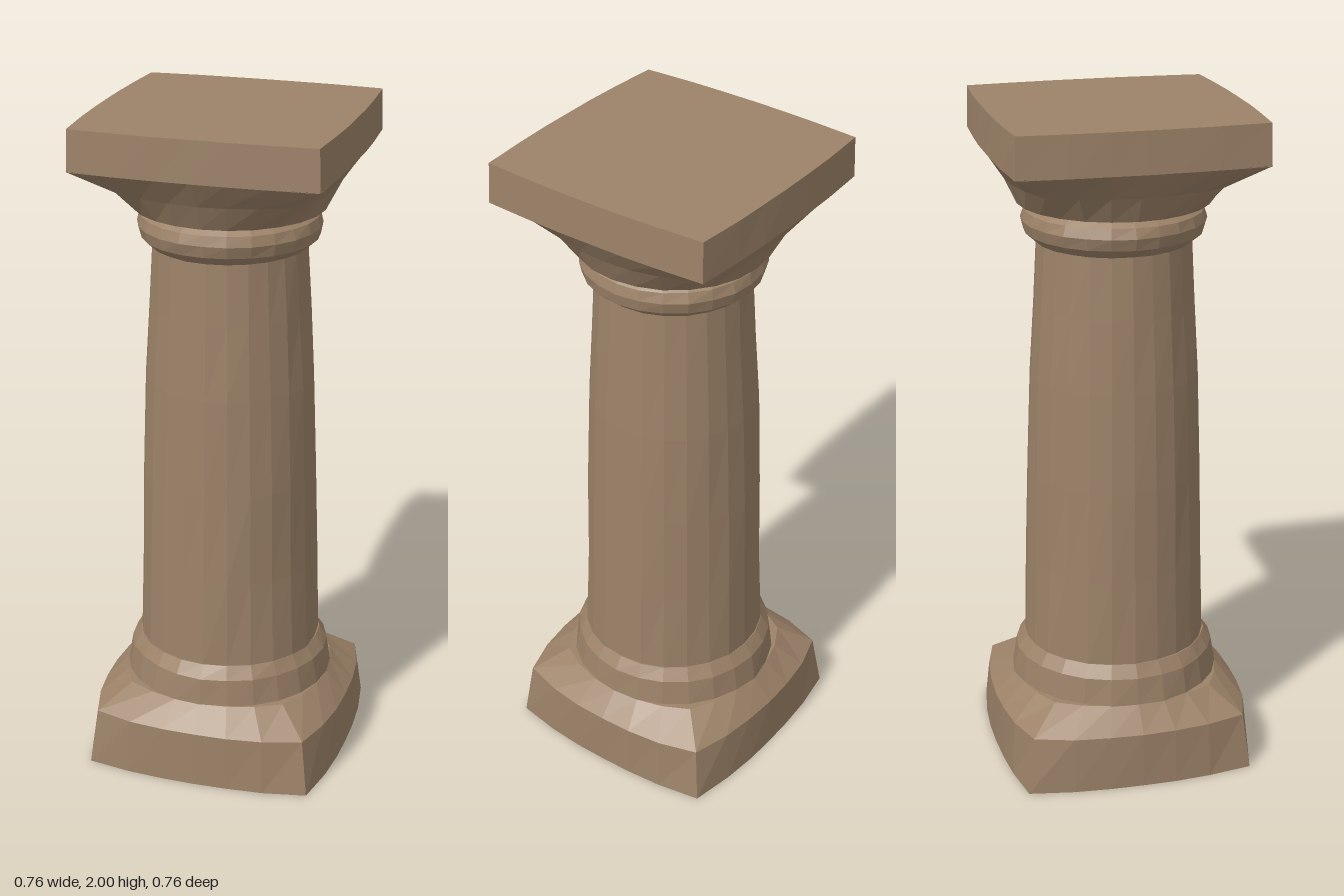
import * as THREE from 'three';

const SIDES = 24;

// Small seeded generator for the hand-hewn unevenness
function makeRandom(seed) {
  let s = seed;
  return () => {
    s = (s * 16807) % 2147483647;
    return s / 2147483647;
  };
}

// Point on a cross-section: a square with bowed sides blended towards a circle
function sectionPoint(i, mid, corner, round) {
  const angle = (i / SIDES) * Math.PI * 2;
  const quarter = Math.round(angle / (Math.PI / 2)) * (Math.PI / 2);
  const t = Math.tan(angle - quarter);
  const half = mid - (mid - corner) * t * t;
  const squareRadius = half * Math.hypot(1, t);
  const radius = squareRadius + (mid - squareRadius) * round;
  return [Math.cos(angle) * radius, Math.sin(angle) * radius];
}

// Closed, faceted loft through rings of [y, middle half-width, corner half-width, roundness]
function loft(rings, wobble, seed) {
  const random = makeRandom(seed);
  const positions = [];
  const index = [];
  rings.forEach(([y, mid, corner, round]) => {
    for (let i = 0; i < SIDES; i++) {
      const [x, z] = sectionPoint(i, mid, corner, round);
      const k = 1 + (random() - 0.5) * wobble;
      positions.push(x * k, y, z * k);
    }
  });
  for (let r = 0; r < rings.length - 1; r++) {
    for (let i = 0; i < SIDES; i++) {
      const j = (i + 1) % SIDES;
      const a = r * SIDES + i, b = r * SIDES + j;
      index.push(a, a + SIDES, b, b, a + SIDES, b + SIDES);
    }
  }
  // End caps
  const last = (rings.length - 1) * SIDES;
  const bottom = positions.length / 3;
  positions.push(0, rings[0][0], 0, 0, rings[rings.length - 1][0], 0);
  for (let i = 0; i < SIDES; i++) {
    const j = (i + 1) % SIDES;
    index.push(bottom, i, j, bottom + 1, last + j, last + i);
  }
  const indexed = new THREE.BufferGeometry();
  indexed.setAttribute('position', new THREE.Float32BufferAttribute(positions, 3));
  indexed.setIndex(index);
  const geometry = indexed.toNonIndexed();
  geometry.computeVertexNormals();
  return geometry;
}

// Round ring from a height and radius
const circle = (y, r) => [y, r, r, 1];

export function createModel() {
  const model = new THREE.Group();
  model.name = 'column';
  const stone = new THREE.MeshStandardMaterial({ color: 0x9c8268, flatShading: true });
  stone.name = 'sandstone';

  const add = (name, rings, wobble, seed) => {
    const mesh = new THREE.Mesh(loft(rings, wobble, seed), stone);
    mesh.name = name;
    model.add(mesh);
  };

  // Bowed square plinth with a chamfer rising to the round base
  add('plinth', [
    [0, 0.38, 0.345, 0],
    [0.17, 0.377, 0.325, 0],
    [0.24, 0.312, 0.27, 0.6],
  ], 0.006, 11);

  // Thick collar at the foot of the shaft
  add('baseCollar', [
    circle(0.235, 0.316), circle(0.32, 0.303), circle(0.358, 0.278),
  ], 0.015, 23);

  // Tapering, slightly worn shaft
  add('shaft', [
    circle(0.35, 0.276), circle(0.62, 0.268), circle(0.9, 0.262),
    circle(1.2, 0.251), circle(1.42, 0.238), circle(1.62, 0.227),
  ], 0.018, 37);

  // Rounded ring under the capital
  add('neckRing', [
    circle(1.608, 0.232), circle(1.635, 0.262), circle(1.67, 0.271),
    circle(1.7, 0.262), circle(1.725, 0.228),
  ], 0.015, 53);

  // Capital flaring from round to square
  add('capital', [
    circle(1.725, 0.286),
    [1.8, 0.322, 0.285, 0.5],
    [1.88, 0.374, 0.362, 0],
  ], 0.008, 71);

  // Flat square slab on top
  add('abacus', [
    [1.878, 0.376, 0.362, 0],
    [2, 0.373, 0.359, 0],
  ], 0.004, 89);

  return model;
}
